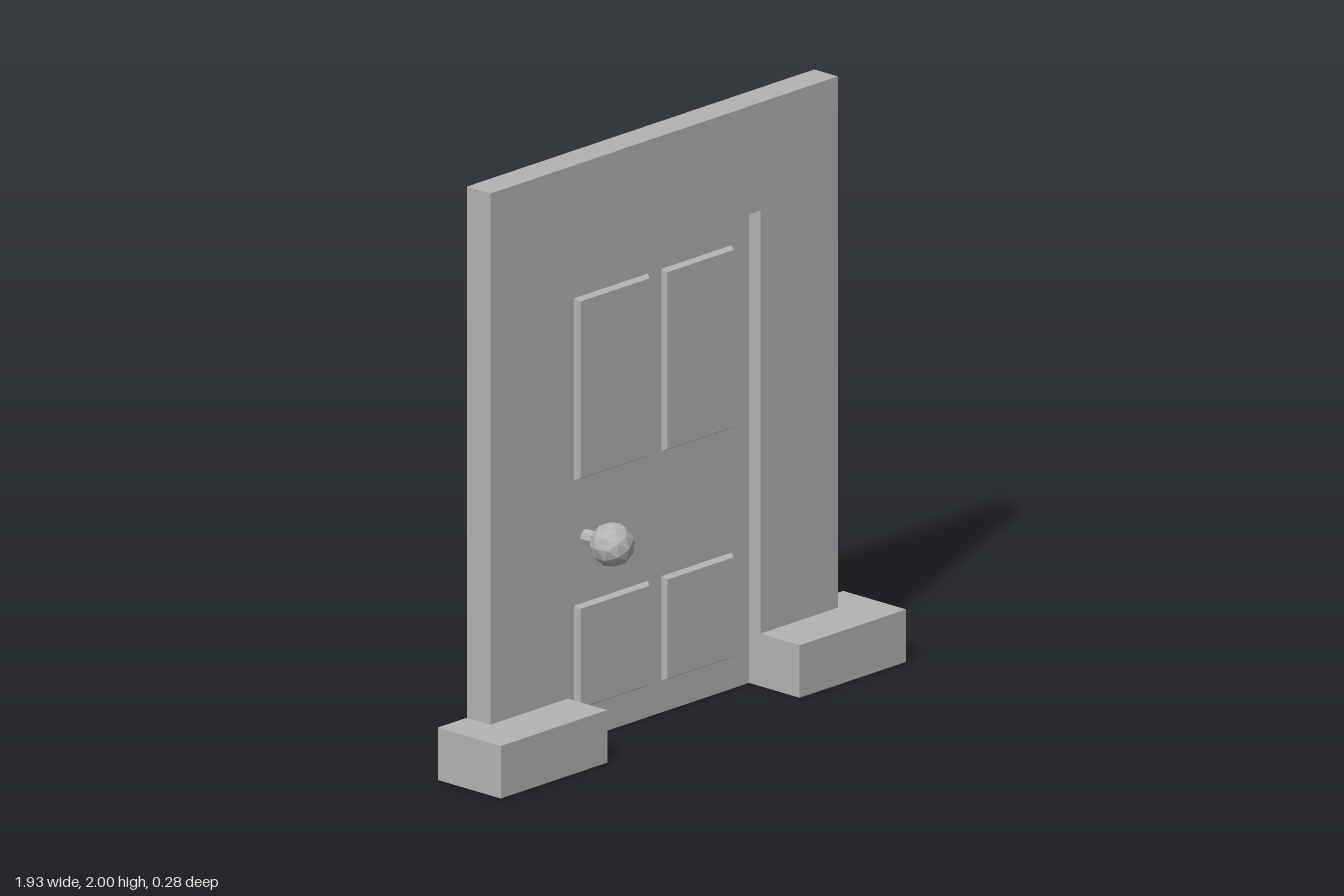
import * as THREE from 'three';
import { mergeGeometries } from 'three/addons/utils/BufferGeometryUtils.js';

const WALL_X = 0.827, OPEN_X = 0.458, BASE_X = 0.965;   // half widths
const TOP = 2, OPEN_TOP = 1.63, BASE_TOP = 0.18;
const BACK = -0.14, WALL_Z = -0.035, FRONT = 0.14, DOOR_Z = -0.085;

// Flat four-cornered face, corners counter-clockwise from its front
function quad(a, b, c, d) {
  const g = new THREE.BufferGeometry();
  g.setAttribute('position', new THREE.Float32BufferAttribute([a, b, c, d].flat(), 3));
  g.setAttribute('uv', new THREE.Float32BufferAttribute([0, 0, 1, 0, 1, 1, 0, 1], 2));
  g.setIndex([0, 1, 2, 0, 2, 3]);
  g.computeVertexNormals();
  return g;
}

const polygon = (pts) => new THREE.Shape(pts.map(([x, y]) => new THREE.Vector2(x, y)));
const rect = (x0, y0, x1, y1) => [[x0, y0], [x1, y0], [x1, y1], [x0, y1]];

// Side face at a given x, facing +x (dir 1) or -x (dir -1)
function sideFace(x, y0, y1, z0, z1, dir) {
  const p = [[x, y0, z1], [x, y0, z0], [x, y1, z0], [x, y1, z1]];
  return quad(...(dir > 0 ? p : p.reverse()));
}

export function createModel() {
  const grey = new THREE.MeshStandardMaterial({ color: 0xb4b4b4, side: THREE.DoubleSide });
  grey.name = 'plain grey';
  const model = new THREE.Group();
  model.name = 'doorway';
  const add = (name, parts) => {
    const mesh = new THREE.Mesh(parts.length > 1 ? mergeGeometries(parts) : parts[0], grey);
    mesh.name = name;
    model.add(mesh);
    return mesh;
  };

  // Wall shell, open at the back, cut out around the door
  const face = new THREE.ShapeGeometry(polygon([
    [-WALL_X, BASE_TOP], [-OPEN_X, BASE_TOP], [-OPEN_X, OPEN_TOP], [OPEN_X, OPEN_TOP],
    [OPEN_X, BASE_TOP], [WALL_X, BASE_TOP], [WALL_X, TOP], [-WALL_X, TOP],
  ])).translate(0, 0, WALL_Z);
  add('wall', [
    face,
    quad([-WALL_X, TOP, WALL_Z], [WALL_X, TOP, WALL_Z], [WALL_X, TOP, BACK], [-WALL_X, TOP, BACK]),
    sideFace(WALL_X, BASE_TOP, TOP, BACK, WALL_Z, 1),
    sideFace(-WALL_X, BASE_TOP, TOP, BACK, WALL_Z, -1),
  ]);

  // Thin lining of the door opening
  add('doorReveal', [
    quad([-OPEN_X, OPEN_TOP, BACK], [OPEN_X, OPEN_TOP, BACK],
      [OPEN_X, OPEN_TOP, WALL_Z], [-OPEN_X, OPEN_TOP, WALL_Z]),
    sideFace(OPEN_X, 0, OPEN_TOP, BACK, WALL_Z, -1),
    sideFace(-OPEN_X, 0, OPEN_TOP, BACK, WALL_Z, 1),
  ]);

  // Base blocks, hollow, with an L-shaped top running round the wall
  for (const s of [1, -1]) {
    const top = new THREE.ShapeGeometry(polygon([
      [s * OPEN_X, -FRONT], [s * BASE_X, -FRONT], [s * BASE_X, -BACK],
      [s * WALL_X, -BACK], [s * WALL_X, -WALL_Z], [s * OPEN_X, -WALL_Z],
    ])).rotateX(-Math.PI / 2).translate(0, BASE_TOP, 0);
    const x0 = Math.min(s * OPEN_X, s * BASE_X), x1 = Math.max(s * OPEN_X, s * BASE_X);
    add(s > 0 ? 'leftBase' : 'rightBase', [
      top,
      quad([x0, 0, FRONT], [x1, 0, FRONT], [x1, BASE_TOP, FRONT], [x0, BASE_TOP, FRONT]),
      sideFace(s * BASE_X, 0, BASE_TOP, BACK, FRONT, s),
      sideFace(s * OPEN_X, 0, BASE_TOP, WALL_Z, FRONT, -s),
    ]);
  }

  // Door sheet with four pressed panels standing out to the front
  const door = polygon(rect(-OPEN_X, 0, OPEN_X, OPEN_TOP));
  const bevel = 0.01, raise = 0.018;
  for (const [x0, x1] of [[-0.375, -0.025], [0.04, 0.375]]) {
    for (const [y0, y1] of [[0.108, 0.467], [0.895, 1.52]]) {
      const outer = rect(x0, y0, x1, y1);
      const inner = rect(x0 + bevel, y0 + bevel, x1 - bevel, y1 - bevel);
      door.holes.push(polygon(outer));
      const low = outer.map(([x, y]) => [x, y, DOOR_Z]);
      const high = inner.map(([x, y]) => [x, y, DOOR_Z + raise]);
      const parts = [quad(...high)];
      for (let i = 0; i < 4; i++) {
        const j = (i + 1) % 4;
        parts.push(quad(low[i], low[j], high[j], high[i]));
      }
      add('doorPanel', parts);
    }
  }
  add('door', [new THREE.ShapeGeometry(door).translate(0, 0, DOOR_Z)]);

  // Faceted knob on a short stem
  const knobMaterial = grey.clone();
  knobMaterial.flatShading = true;
  const knob = add('doorKnob', [new THREE.IcosahedronGeometry(0.075, 1)]);
  knob.material = knobMaterial;
  knob.position.set(-0.32, 0.69, 0.033);
  const stem = add('knobStem', [new THREE.CylinderGeometry(0.027, 0.027, 0.08, 8).rotateX(Math.PI / 2)]);
  stem.material = knobMaterial;
  stem.position.set(-0.32, 0.69, DOOR_Z + 0.04);

  return model;
}
